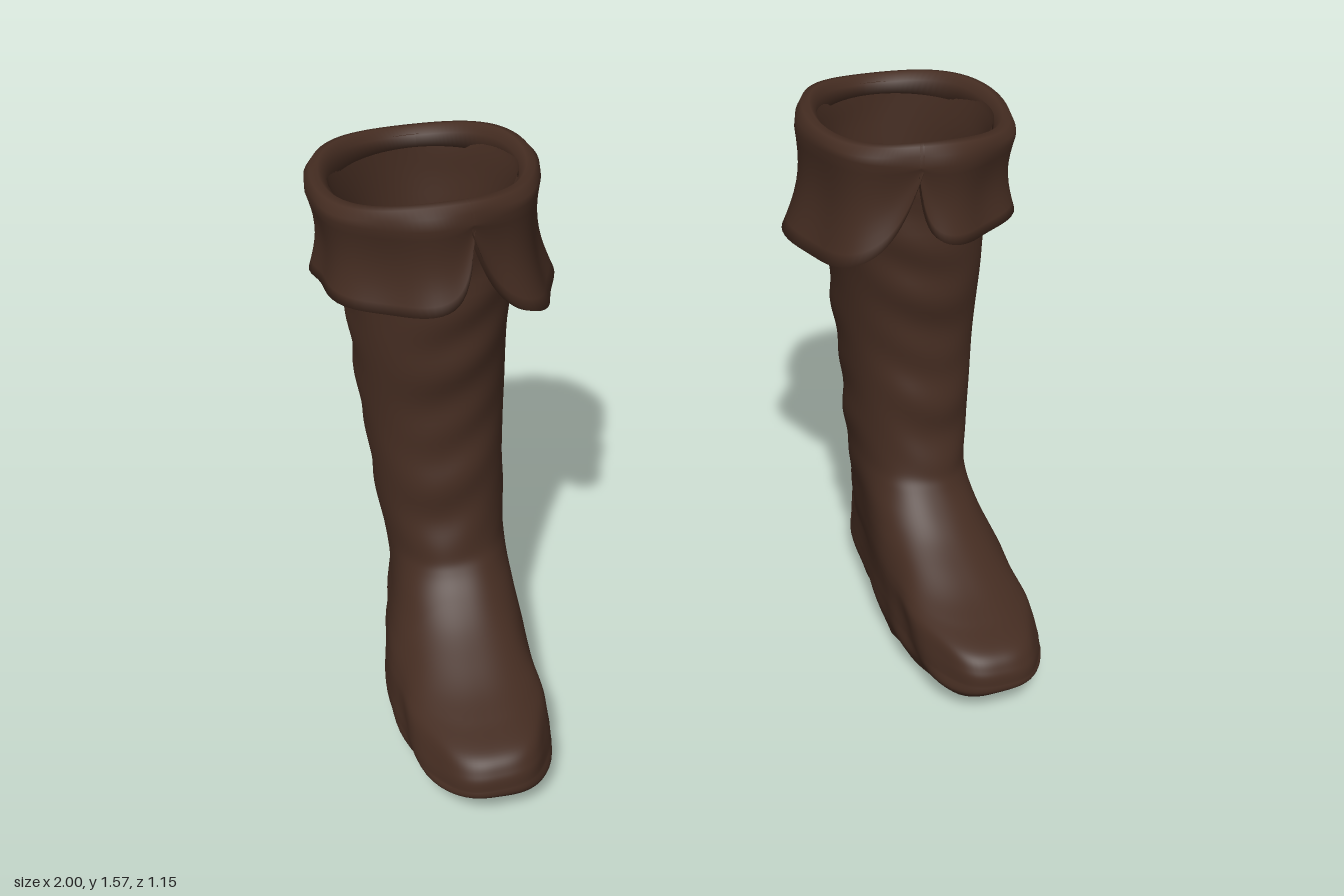
import * as THREE from 'three';

const leather = new THREE.MeshStandardMaterial({ color: 0x442c21 });
leather.name = 'dark brown leather';

const { smoothstep, degToRad } = THREE.MathUtils;
const SIDES = 96;

// Smooth interpolation through a few rows of measurements
function sample(rows, n) {
  const out = [];
  for (let i = 0; i <= n; i++) {
    const f = (i / n) * (rows.length - 1);
    const k = Math.min(Math.floor(f), rows.length - 2), t = f - k;
    const row = (j) => rows[Math.max(0, Math.min(rows.length - 1, j))];
    out.push(rows[0].map((_, c) => {
      const [a, b, d, e] = [row(k - 1)[c], row(k)[c], row(k + 1)[c], row(k + 2)[c]];
      return b + 0.5 * t * (d - a + t * (2 * a - 5 * b + 4 * d - e + t * (3 * (b - d) + e - a)));
    }));
  }
  return out;
}

// Skin a series of closed rings; side = -1 mirrors the result across x
function loft(name, rings, side, capStart, capEnd) {
  const pos = [], idx = [], m = rings[0].length;
  const tri = (a, b, c) => (side > 0 ? idx.push(a, b, c) : idx.push(a, c, b));
  const add = (p) => pos.push(p[0] * side, p[1], p[2]);
  rings.forEach((r) => r.forEach(add));
  for (let i = 0; i < rings.length - 1; i++) {
    for (let j = 0; j < m; j++) {
      const a = i * m + j, b = i * m + (j + 1) % m;
      tri(a, b, a + m);
      tri(b, b + m, a + m);
    }
  }
  // Close an end with strips running from one side of the ring to the other
  const cap = (ring, flip) => {
    const c = pos.length / 3;
    ring.forEach(add);
    const face = (p, q, r) => (flip ? tri(c + r, c + q, c + p) : tri(c + p, c + q, c + r));
    for (let j = 0; j < m / 2; j++) {
      const k = (m - j) % m;
      face(j, j + 1, m - j - 1);
      face(j, m - j - 1, k);
    }
  };
  if (capStart) cap(rings[0], true);
  if (capEnd) cap(rings[rings.length - 1], false);
  const g = new THREE.BufferGeometry();
  g.setAttribute('position', new THREE.Float32BufferAttribute(pos, 3));
  g.setIndex(idx);
  g.computeVertexNormals();
  const mesh = new THREE.Mesh(g, leather);
  mesh.name = name;
  return mesh;
}

// Horizontal slice: y, min x, max x, back z, front z, squareness
function slice([y, x0, x1, z0, z1, sq], wrinkle) {
  const ring = [];
  const fold = wrinkle * smoothstep(y, 0.3, 0.5);
  for (let j = 0; j < SIDES; j++) {
    const a = (j / SIDES) * Math.PI * 2, s = Math.sin(a), c = Math.cos(a);
    const w = 1 + fold * Math.sin(y * 36 + 1.6 * Math.sin(a * 2 + 1)) * (0.5 + 0.5 * Math.sin(a * 3 + y * 2));
    const r = w / (Math.abs(s) ** sq + Math.abs(c) ** sq) ** (1 / sq);
    ring.push([(x0 + x1) / 2 + (x1 - x0) / 2 * r * s, y, (z0 + z1) / 2 + (z1 - z0) / 2 * r * c]);
  }
  return ring;
}

// Height of the underside: raised heel block, arch, ball and toe
const soleLine = [[-0.07, 0.07], [0, 0.04], [0.12, 0.002], [0.25, 0.036], [0.4, 0.048], [0.6, 0.066]];
function soleHeight(x, z) {
  if (z < -0.075) return 0.04 - 0.02 * (z + 0.25) * (z + 0.25);
  const k = Math.max(1, soleLine.findIndex((p) => p[0] >= z));
  const [[za, ya], [zb, yb]] = [soleLine[k - 1], soleLine[k]];
  return ya + (yb - ya) * Math.max(0, (z - za) / (zb - za)) + 0.1 * Math.max(0, x - 0.62);
}

// Widen the ball of the foot, swing the toe inward, and press the sole into shape
function shapeFoot([x, y, z]) {
  const low = 1 - smoothstep(y, 0.35, 0.5);
  const crease = 1 + 0.03 * Math.sin(z * 26 + y * 30) * smoothstep(z, 0.05, 0.3);
  const mid = 0.75;
  const wide = mid + (x - mid) * (1 + 0.16 * low * smoothstep(z, -0.2, 0.08)) * crease;
  const nx = wide - 0.055 * Math.max(0, z - 0.1);
  const sole = soleHeight(nx, z);
  return [nx, y < 0.12 ? sole + y * (0.12 - sole) / 0.12 : y, z];
}

// Turned-down cuff flap between two angles, hanging to the given height
function cuffFlap(name, side, from, to, low, flare, sharp) {
  const rings = [], n = 64, steps = 9;
  for (let i = 0; i <= n; i++) {
    const t = 0.5 - 0.5 * Math.cos(Math.PI * i / n);
    const a = degToRad(from + (to - from) * t);
    const drop = (1.49 - low) * (1 - Math.abs(2 * t - 1) ** sharp) + 0.02 + 0.01 * Math.sin(a * 4) * Math.sin(Math.PI * t);
    const full = Math.min(1, drop / 0.25), wave = 0.008 * Math.sin(a * 7 + 1);
    const top = 0.01 * Math.cos(a * 3) - 0.006 * Math.cos(a);
    const prof = [[0.245, 1.5], [0.25, 1.535 + top], [0.27, 1.557 + top], [0.292, 1.553 + top], [0.306 + wave / 2, 1.53 + top]];
    const r = (s) => 0.308 - 0.02 * full * Math.sin(Math.PI * s) + (flare + 0.004) * full * s * s + wave * (0.5 + s);
    for (let k = 0; k <= steps; k++) prof.push([r(k / steps), 1.5 - drop * k / steps]);
    for (let k = steps; k >= 0; k--) prof.push([r(k / steps) - 0.028, 1.5 - drop * k / steps - 0.006 * k / steps]);
    rings.push(prof.map(([q, y]) => [0.68 + q * Math.sin(a), y, -0.255 + q * 1.01 * Math.cos(a)]));
  }
  return loft(name, rings, side, false, false);
}

function boot(name, side) {
  const g = new THREE.Group();
  g.name = name;

  // Foot, heel and shaft in one skin, from the sole upward
  const body = sample([
    [0, 0.6, 0.905, -0.43, 0.55, 3], [0.06, 0.582, 0.922, -0.445, 0.575, 3],
    [0.12, 0.58, 0.925, -0.44, 0.575, 2.9], [0.16, 0.58, 0.92, -0.435, 0.565, 2.8],
    [0.2, 0.578, 0.915, -0.432, 0.53, 2.6], [0.23, 0.576, 0.91, -0.435, 0.43, 2.5],
    [0.26, 0.574, 0.905, -0.44, 0.34, 2.4], [0.3, 0.572, 0.895, -0.44, 0.255, 2.3],
    [0.35, 0.568, 0.885, -0.425, 0.165, 2.2], [0.4, 0.562, 0.88, -0.412, 0.1, 2.2],
    [0.45, 0.556, 0.88, -0.412, 0.055, 2.2], [0.5, 0.55, 0.885, -0.413, 0.025, 2.2],
    [0.6, 0.54, 0.895, -0.42, 0.0, 2.2], [0.75, 0.53, 0.9, -0.445, -0.01, 2.2],
    [0.9, 0.51, 0.91, -0.485, -0.025, 2.2], [1.1, 0.49, 0.915, -0.52, -0.005, 2.2],
    [1.25, 0.46, 0.92, -0.53, 0.0, 2.1], [1.5, 0.435, 0.92, -0.53, 0.005, 2]], 136);
  g.add(loft('footAndShaft', body.map((r) => slice(r, 0.022).map(shapeFoot)), side, true, false));

  // Inside wall and insole
  const lining = sample([
    [1.535, 0.43, 0.93, -0.51, -0.005, 2], [1.4, 0.47, 0.9, -0.505, -0.03, 2],
    [1.0, 0.53, 0.88, -0.47, -0.06, 2.1], [0.6, 0.57, 0.865, -0.39, -0.05, 2.1],
    [0.4, 0.59, 0.86, -0.39, -0.08, 2.3], [0.12, 0.61, 0.88, -0.42, -0.085, 2.8]], 40);
  g.add(loft('lining', lining.map((r) => slice(r, 0.008)), side, false, true));

  // Cuff split at front and back into an outer and an inner flap
  g.add(cuffFlap('outerCuffFlap', side, -15, 186, 1.28, 0.005, 18));
  g.add(cuffFlap('innerCuffFlap', side, 184, 347, 1.2, 0.018, 6));
  return g;
}

export function createModel() {
  const model = new THREE.Group();
  model.name = 'pairOfBoots';
  model.add(boot('leftBoot', 1), boot('rightBoot', -1));
  return model;
}
